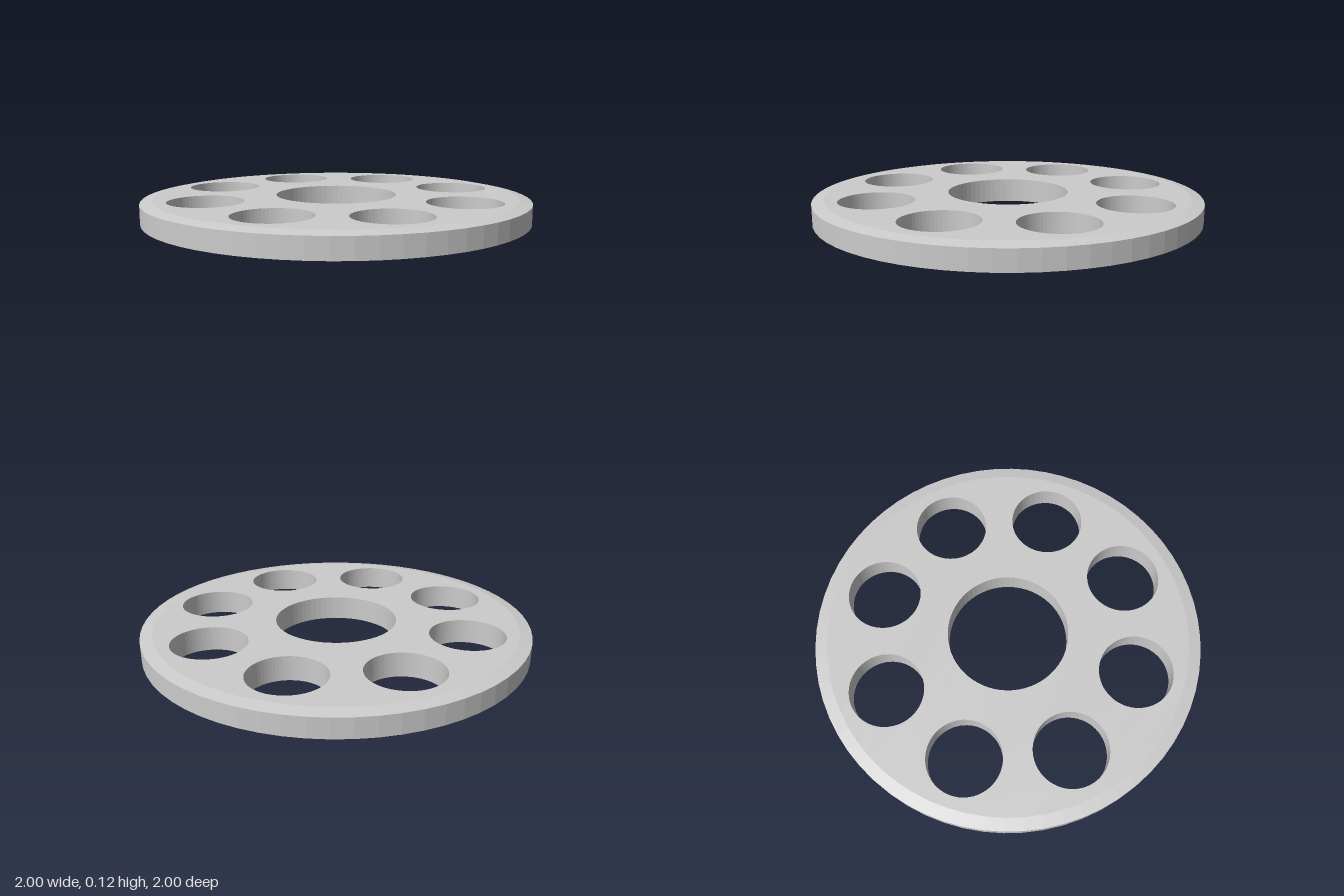
import * as THREE from 'three';

const HEIGHT = 0.125, FLAT_R = 0.9375, BEVEL_H = 0.0125;
const BORE_R = 0.313, HOLE_R = 0.19, HOLE_RING = 0.6875, HOLES = 8, SEGMENTS = 64;

export function createModel() {
  const group = new THREE.Group();
  const options = { color: 0xcccccc, flatShading: true };
  const outside = new THREE.MeshStandardMaterial(options);
  const inside = new THREE.MeshStandardMaterial({ ...options, side: THREE.BackSide });

  function add(name, geometry, material, x = 0, y = 0, z = 0) {
    const mesh = new THREE.Mesh(geometry, material);
    mesh.name = name;
    mesh.position.set(x, y, z);
    group.add(mesh);
  }

  // Central bore and the ring of smaller holes
  const openings = [{ name: 'centreBore', x: 0, z: 0, r: BORE_R }];
  for (let i = 0; i < HOLES; i++) {
    const a = (i / HOLES) * Math.PI * 2;
    openings.push({ name: 'ringHole', x: HOLE_RING * Math.cos(a), z: HOLE_RING * Math.sin(a), r: HOLE_R });
  }

  // Flat perforated faces
  const face = new THREE.Shape().absarc(0, 0, FLAT_R, 0, Math.PI * 2);
  for (const { x, z, r } of openings) {
    face.holes.push(new THREE.Path().absarc(x, z, r, 0, Math.PI * 2, true));
  }
  const faceGeometry = new THREE.ShapeGeometry(face, SEGMENTS / 2);
  add('topFace', faceGeometry.clone().rotateX(-Math.PI / 2), outside, 0, HEIGHT, 0);
  add('bottomFace', faceGeometry.rotateX(Math.PI / 2), outside);

  // Outer rim with a shallow bevel above and below
  const rim = [[FLAT_R, 0], [1, BEVEL_H], [1, HEIGHT - BEVEL_H], [FLAT_R, HEIGHT]];
  add('bevelledRim', new THREE.LatheGeometry(rim.map(p => new THREE.Vector2(...p)), SEGMENTS), outside);

  // Walls of the openings, facing inwards
  for (const { name, x, z, r } of openings) {
    add(name, new THREE.CylinderGeometry(r, r, HEIGHT, SEGMENTS, 1, true), inside, x, HEIGHT / 2, z);
  }
  return group;
}
